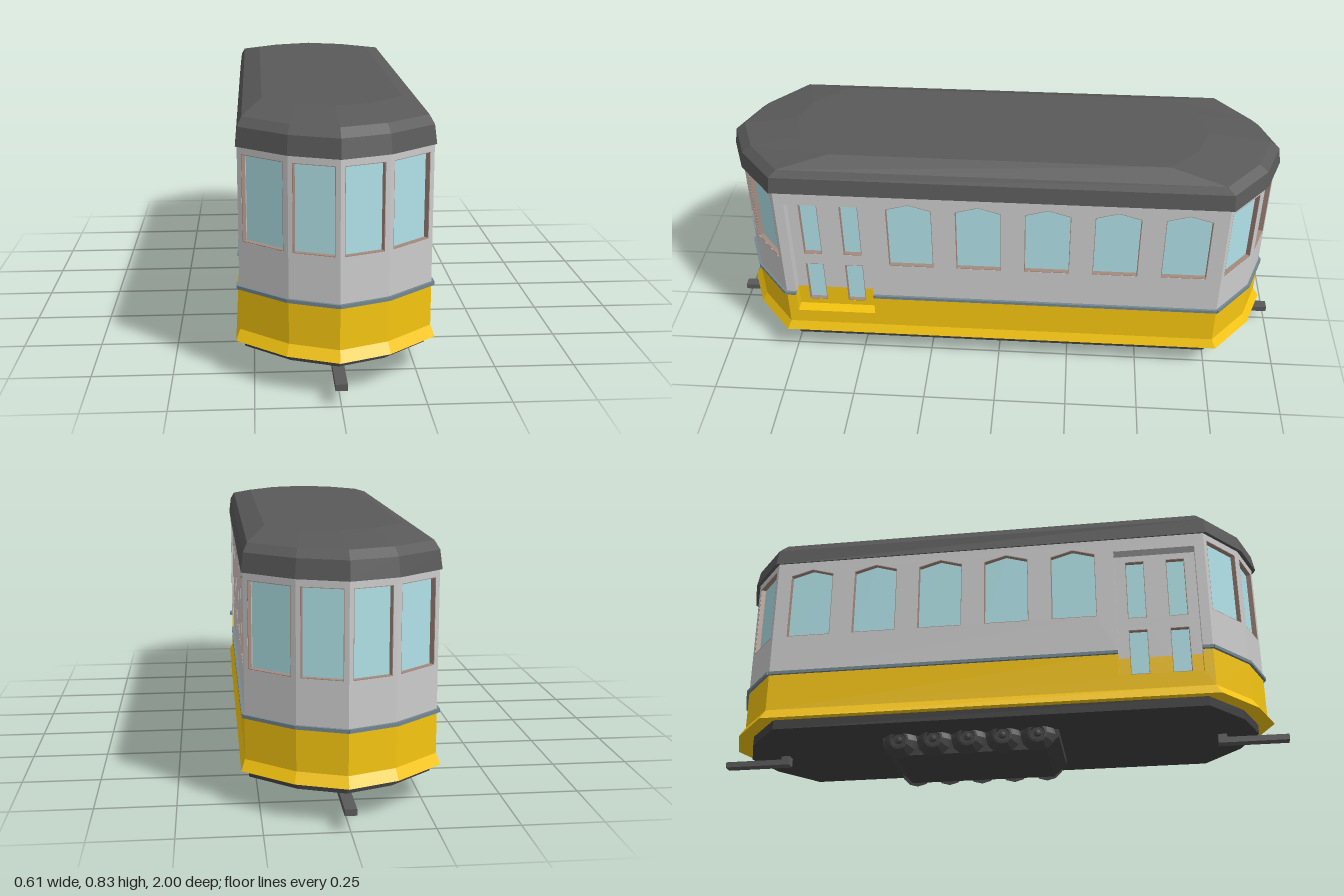
import * as THREE from 'three';

const mat = (color, side = THREE.FrontSide) =>
  new THREE.MeshStandardMaterial({ color, flatShading: true, side });
const GREY = mat(0xcccccc), YELLOW = mat(0xf5c510), ROOF = mat(0x5a5a5a), DARK = mat(0x404040);
const GLASS = mat(0xb0e2e8), LINING = mat(0xa58a7e), RAIL = mat(0x748790);

// Body outline [x, z]: front tip, down the left side, rear tip, up the right side
const half = [[0.147, 0.877], [0.292, 0.753], [0.292, -0.764], [0.147, -0.887]];
const PLAN = [[0, 0.935], ...half, [0, -0.942], ...half.map(([x, z]) => [-x, z]).reverse()];
const N = PLAN.length;
const BELT = 0.28, WALL = 0.045;

function mesh(name, geo, material, parent) {
  const m = new THREE.Mesh(geo, material);
  m.name = name;
  parent.add(m);
  return m;
}

// Outline moved outward by d, with both ends stretched by e
function ring(d, e = 0) {
  return PLAN.map(([x, z], i) => {
    const [px, pz] = PLAN[(i + N - 1) % N], [qx, qz] = PLAN[(i + 1) % N];
    const l1 = Math.hypot(x - px, z - pz), l2 = Math.hypot(qx - x, qz - z);
    const n1 = [-(z - pz) / l1, (x - px) / l1], n2 = [-(qz - z) / l2, (qx - x) / l2];
    const k = d / (1 + n1[0] * n2[0] + n1[1] * n2[1]);
    return [x + (n1[0] + n2[0]) * k, z + (n1[1] + n2[1]) * k + Math.sign(z) * e];
  });
}

// Faceted solid through stacked rings, given as [ring, y] from the bottom up
function loft(layers) {
  const pos = [];
  const put = (l, i) => pos.push(l[0][i % N][0], l[1], l[0][i % N][1]);
  for (let k = 0; k + 1 < layers.length; k++) {
    const a = layers[k], b = layers[k + 1];
    for (let i = 0; i < N; i++) {
      put(a, i); put(a, i + 1); put(b, i + 1);
      put(a, i); put(b, i + 1); put(b, i);
    }
  }
  const lo = layers[0], hi = layers[layers.length - 1];
  for (let i = 1; i < N - 1; i++) {
    put(hi, 0); put(hi, i); put(hi, i + 1);
    put(lo, 0); put(lo, i + 1); put(lo, i);
  }
  const g = new THREE.BufferGeometry();
  g.setAttribute('position', new THREE.Float32BufferAttribute(pos, 3));
  g.computeVertexNormals();
  return g;
}

const shapeOf = pts => new THREE.Shape(pts.map(p => new THREE.Vector2(...p)));
const rect = (u0, u1, y0, y1) => [[u0, y0], [u1, y0], [u1, y1], [u0, y1]];

// Extrusion whose front face lies at z = front
function slab(pts, holes, depth, front = 0) {
  const s = shapeOf(pts);
  s.holes = holes.map(h => shapeOf(h));
  return new THREE.ExtrudeGeometry(s, { depth, bevelEnabled: false }).translate(0, 0, front - depth);
}

// Rectangle with cuts [u0, u1, y] from its bottom or top edge
function notched(u0, u1, y0, y1, bottom, top) {
  const pts = [[u0, y0]];
  bottom.forEach(([a, b, y]) => pts.push([a, y0], [a, y], [b, y], [b, y0]));
  pts.push([u1, y0], [u1, y1]);
  [...top].reverse().forEach(([a, b, y]) => pts.push([b, y1], [b, y], [a, y], [a, y1]));
  pts.push([u0, y1]);
  return pts;
}

// Lining and recessed pane for an opening
function addWindow(parent, pts, front) {
  const us = pts.map(p => p[0]), ys = pts.map(p => p[1]);
  const cu = (Math.min(...us) + Math.max(...us)) / 2, cy = (Math.min(...ys) + Math.max(...ys)) / 2;
  const inner = pts.map(([u, y]) => [u - Math.sign(u - cu) * 0.002, y - Math.sign(y - cy) * 0.002]);
  mesh('windowLining', slab(pts, [inner], 0.02, front - 0.0005), LINING, parent);
  mesh('windowPane', slab(pts, [], 0.004, front - 0.017), GLASS, parent);
}

function addRail(parent, u0, u1) {
  mesh('beltRail', new THREE.BoxGeometry(u1 - u0, 0.011, 0.018), RAIL, parent)
    .position.set((u0 + u1) / 2, 0.284, 0);
}

// Long side with five arched windows and a recessed door; toU turns z into wall distance
function buildSide(wall, L, toU) {
  const span = (za, zb) => [toU(za), toU(zb)].sort((a, b) => a - b);
  const [d0, d1] = span(0.72, 0.442);
  const windows = [];
  for (let i = 0; i < 5; i++) {
    const c = 0.3 - i * 0.234, [a, b] = span(c + 0.077, c - 0.077);
    windows.push([[a, 0.425], [b, 0.425], [b, 0.668], [(a + b) / 2, 0.69], [a, 0.668]]);
  }
  mesh('upperWall', slab(notched(0, L, BELT, 0.73, [[d0, d1, 0.672]], []), windows, WALL), GREY, wall);
  mesh('lowerWall', slab(notched(0, L, 0.147, BELT, [], [[d0, d1, 0.2]]), [], WALL), YELLOW, wall);
  windows.forEach(w => addWindow(wall, w, 0));
  addRail(wall, -0.002, d0);
  addRail(wall, d1, L + 0.002);

  // Door with four panes
  const door = new THREE.Group();
  door.name = 'door';
  wall.add(door);
  const cols = [span(0.684, 0.62), span(0.544, 0.48)].sort((a, b) => a[0] - b[0]);
  const upper = cols.map(([a, b]) => rect(a, b, 0.43, 0.65));
  const low = cols.map(([a, b]) => [a, b, 0.385]), cut = cols.map(([a, b]) => [a, b, 0.22]);
  const front = -WALL + 0.003;
  mesh('doorTop', slab(notched(d0, d1, BELT, 0.672, low, []), upper, 0.03, front), GREY, door);
  mesh('doorBottom', slab(notched(d0, d1, 0.2, BELT, [], cut), [], 0.03, front), YELLOW, door);
  [...upper, ...cols.map(([a, b]) => rect(a, b, 0.22, 0.385))].forEach(w => addWindow(door, w, front));
}

// Angled end panel with one large window
function buildEnd(wall, L) {
  const w = rect(L * 0.085, L * 0.905, 0.43, 0.697);
  mesh('upperWall', slab(rect(0, L, BELT, 0.73), [w], 0.02), GREY, wall);
  mesh('lowerWall', slab(rect(0, L, 0.147, BELT), [], 0.02), YELLOW, wall);
  addWindow(wall, w, 0);
  addRail(wall, -0.002, L + 0.002);
}

export function createModel() {
  const model = new THREE.Group();
  model.name = 'tramCar';

  // Walls, one per side of the outline
  PLAN.forEach(([x, z], i) => {
    const [qx, qz] = PLAN[(i + 1) % N], L = Math.hypot(qx - x, qz - z);
    const wall = new THREE.Group();
    wall.position.set(x, 0, z);
    wall.rotation.y = Math.atan2(-(qz - z), qx - x);
    const long = L > 1;
    wall.name = long ? 'sideWall' : 'endWall';
    model.add(wall);
    if (long) buildSide(wall, L, zz => Math.abs(zz - z));
    else buildEnd(wall, L);
  });

  // Flared skirt, floor and roof
  mesh('skirt', loft([[ring(0.012, 0.009), 0.115], [ring(0), 0.148]]), YELLOW, model);
  mesh('floor', loft([[ring(-0.013, -0.02), 0.082], [ring(-0.013, -0.02), 0.116]]), DARK, model);
  const crown = [[0.115, 0.68], [0.216, 0.57], [0.216, -0.56], [0.115, -0.66]];
  const top = [[0, 0.72], ...crown, [0, -0.7], ...crown.map(([x, z]) => [-x, z]).reverse()];
  mesh('roof', loft([
    [ring(0.005, 0.009), 0.72], [ring(-0.002, 0.006), 0.778],
    [ring(-0.015, -0.013), 0.803], [top, 0.83],
  ]), ROOF, model);

  // Running gear: centre block and five wheels on each side
  const block = slab([[-0.34, 0.013], [0.18, 0.013], [0.225, 0.055], [0.225, 0.085], [-0.385, 0.085], [-0.385, 0.055]], [], 0.29, 0.145);
  mesh('bogie', block.rotateY(-Math.PI / 2), DARK, model);
  const profile = [[0, 0], [0.06, 0], [0.052, 0.008], [0.034, 0.024], [0.026, 0.025], [0.023, 0.018],
    [0.013, 0.018], [0.011, 0.026], [0, 0.028]].map(p => new THREE.Vector2(...p));
  const wheelGeo = new THREE.LatheGeometry(profile, 12);
  for (const s of [1, -1]) {
    for (let i = 0; i < 5; i++) {
      const w = mesh('wheel', wheelGeo, DARK, model);
      w.position.set(s * 0.151, 0.061, 0.155 - i * 0.1195);
      w.rotation.z = -s * Math.PI / 2;
    }
    // Couplers at both ends
    mesh('coupler', new THREE.BoxGeometry(0.036, 0.02, 0.238), ROOF, model).position.set(0, 0.06, s * 0.881);
    mesh('couplerMount', new THREE.BoxGeometry(0.036, 0.03, 0.03), ROOF, model).position.set(0, 0.073, s * 0.777);
  }
  return model;
}
